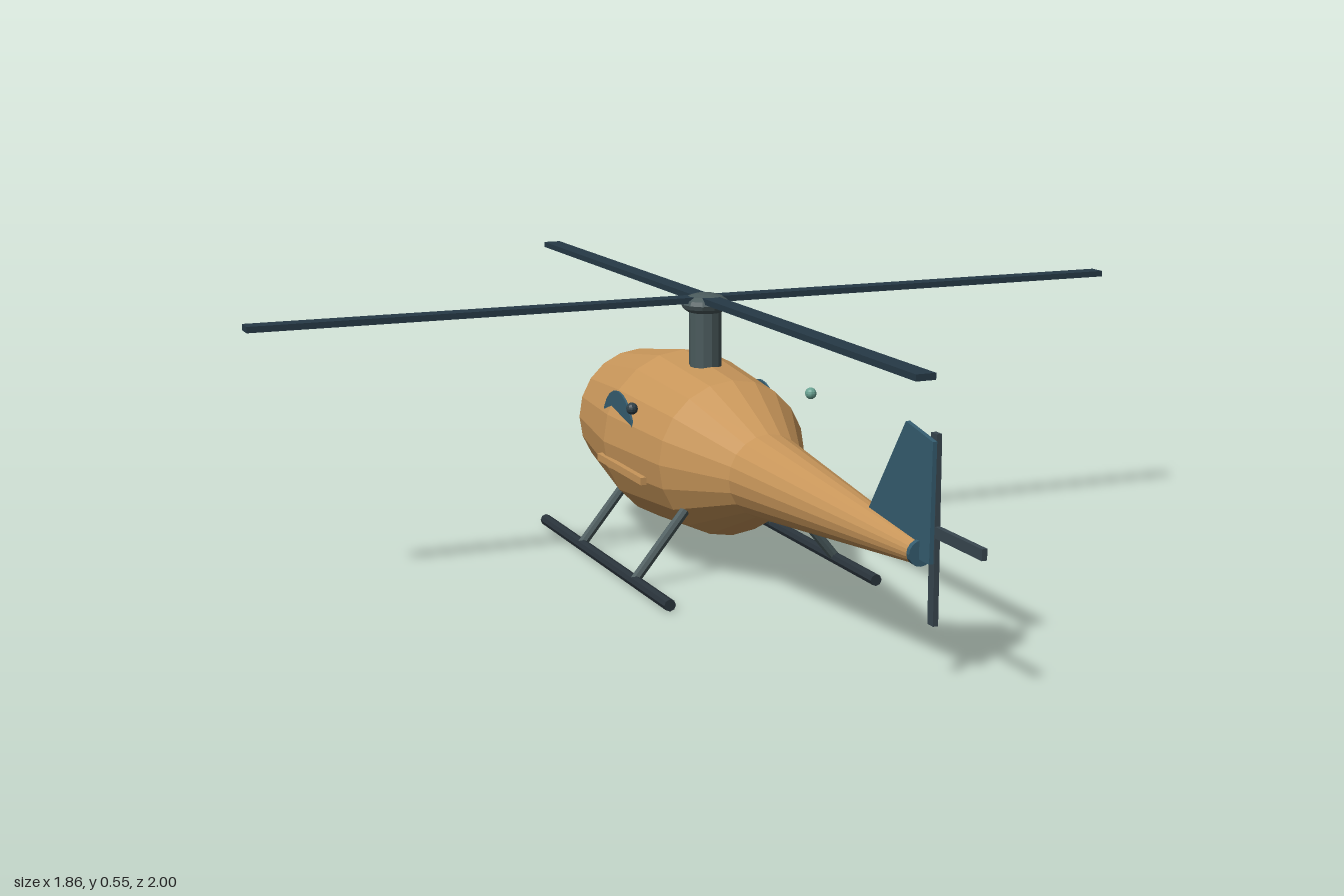
import * as THREE from 'three';

const mat = (color, extra = {}) =>
  new THREE.MeshStandardMaterial({ color, flatShading: true, ...extra });

export function createModel() {
  const model = new THREE.Group();
  const tan = mat(0xc8965a);
  const bladeMat = mat(0x263a47);
  const steel = mat(0x4a5a5c);
  const skidMat = mat(0x2a343b);
  const tailMat = mat(0x38464f);
  const glass = mat(0x355d70, { side: THREE.DoubleSide });

  const add = (name, geometry, material, x = 0, y = 0, z = 0, parent = model) => {
    const mesh = new THREE.Mesh(geometry, material);
    mesh.name = name;
    mesh.position.set(x, y, z);
    parent.add(mesh);
    return mesh;
  };
  const group = (name) => {
    const g = new THREE.Group();
    g.name = name;
    model.add(g);
    return g;
  };
  const rod = (name, a, b, radius, material, parent) => {
    const from = new THREE.Vector3(...a), to = new THREE.Vector3(...b);
    const dir = to.clone().sub(from);
    const mesh = add(name, new THREE.CylinderGeometry(radius, radius, dir.length(), 8), material, 0, 0, 0, parent);
    mesh.position.copy(from).add(to).multiplyScalar(0.5);
    mesh.quaternion.setFromUnitVectors(new THREE.Vector3(0, 1, 0), dir.normalize());
    return mesh;
  };

  // Body and tail boom: one turned profile of [radius, z] lying along z
  const profile = [[0, -0.555], [0.02, -0.553], [0.14, -0.435], [0.18, -0.18],
    [0.158, 0.07], [0.083, 0.24], [0.02, 0.85], [0, 0.85]];
  const body = new THREE.LatheGeometry(profile.map(([r, z]) => new THREE.Vector2(r, z)), 20);
  body.rotateX(Math.PI / 2);
  add('fuselage', body, tan, 0, 0.235, 0);

  // Tail cap
  add('tailCap', new THREE.CylinderGeometry(0.023, 0.023, 0.01, 16).rotateX(Math.PI / 2), glass, 0, 0.235, 0.85);

  // Upright tail fin, drawn in (z, y)
  const finShape = new THREE.Shape([[0.66, 0.26], [0.80, 0.452], [0.895, 0.435], [0.89, 0.225], [0.80, 0.225]]
    .map(([z, y]) => new THREE.Vector2(-z, y)));
  const fin = new THREE.ExtrudeGeometry(finShape, { depth: 0.008, bevelEnabled: false });
  fin.translate(0, 0, -0.004).rotateY(Math.PI / 2);
  add('tailFin', fin, glass);

  // Tail rotor, on the left side of the fin
  const tailRotor = group('tailRotor');
  add('tailBladeUpright', new THREE.BoxGeometry(0.01, 0.335, 0.02), tailMat, 0.037, 0.267, 0.833, tailRotor);
  add('tailBladeLevel', new THREE.BoxGeometry(0.01, 0.02, 0.335), tailMat, 0.037, 0.265, 0.833, tailRotor);
  rod('tailRotorAxle', [0, 0.265, 0.833], [0.04, 0.265, 0.833], 0.008, tailMat, tailRotor);

  // Mast, hub and main rotor
  const rotor = group('mainRotor');
  add('mast', new THREE.CylinderGeometry(0.033, 0.033, 0.15, 12), steel, 0, 0.455, -0.067, rotor);
  add('hub', new THREE.SphereGeometry(0.05, 12, 8).scale(1, 0.45, 1), steel, 0, 0.527, -0.067, rotor);
  add('bladePairAcross', new THREE.BoxGeometry(1.86, 0.012, 0.038), bladeMat, 0, 0.537, -0.07, rotor);
  add('bladePairAlong', new THREE.BoxGeometry(0.038, 0.012, 1.86), bladeMat, 0, 0.537, -0.07, rotor);

  for (const side of [-1, 1]) {
    const word = side > 0 ? 'left' : 'right';

    // Round side window, half sunk into the body
    const window = new THREE.CylinderGeometry(0.087, 0.087, 0.004, 24).rotateZ(Math.PI / 2);
    add(word + 'Window', window, glass, side * 0.16, 0.258, -0.146);

    // Side rail and lamp
    add(word + 'Rail', new THREE.BoxGeometry(0.012, 0.015, 0.245), tan, side * 0.177, 0.197, -0.087);
    add(word + 'Lamp', new THREE.SphereGeometry(0.012, 10, 8), mat(side > 0 ? 0x6aa393 : 0x2f4048),
      side * 0.195, 0.343, 0.022);

    // Landing skid with two struts
    const gear = group(word + 'LandingGear');
    rod('skid', [side * 0.219, 0.012, -0.44], [side * 0.219, 0.012, 0.275], 0.012, skidMat, gear);
    for (const z of [0.092, -0.21])
      rod('strut', [side * 0.219, 0.014, z], [side * 0.11, 0.147, z], 0.0105, steel, gear);
  }
  return model;
}
